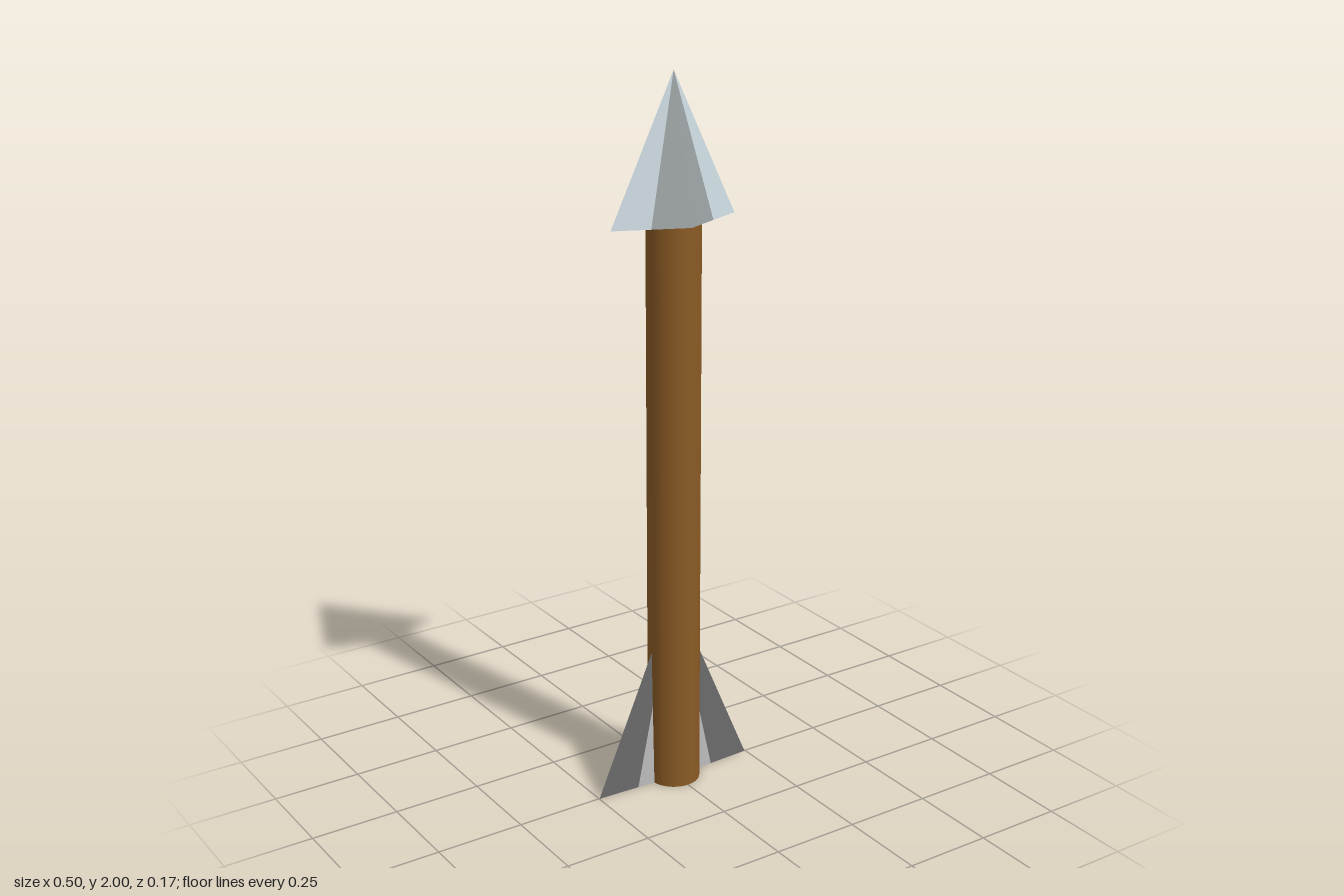
import * as THREE from 'three';

const material = (color, flatShading = true) => new THREE.MeshStandardMaterial({ color, flatShading });

// Pyramid slice: base points [x, z] run from +x towards +z; sides are the base edges that show.
function slice(name, base, sides, height, mat) {
  const n = base.length;
  const pos = [];
  const push = ([x, z], y = 0) => pos.push(x, y, z);
  for (const i of sides) {
    push(base[(i + 1) % n]);
    push(base[i]);
    push([0, 0], height);
  }
  for (let i = 1; i < n - 1; i++) [base[0], base[i], base[i + 1]].forEach((p) => push(p));
  const geo = new THREE.BufferGeometry();
  geo.setAttribute('position', new THREE.Float32BufferAttribute(pos, 3));
  geo.computeVertexNormals();
  const mesh = new THREE.Mesh(geo, mat);
  mesh.name = name;
  return mesh;
}

// Diamond-based pyramid with a core and two differently coloured edges
function blade(name, w, d, height, coreColor, edgeColor) {
  const group = new THREE.Group();
  group.name = name;
  const a = w / 2, b = d / 2;
  const core = [[a, b], [0, d], [-a, b], [-a, -b], [0, -d], [a, -b]];
  group.add(slice(name + 'Core', core, [0, 1, 3, 4], height, material(coreColor)));
  const edgeMat = material(edgeColor);
  const left = slice(name + 'LeftEdge', [[w, 0], [a, b], [a, -b]], [0, 2], height, edgeMat);
  const right = slice(name + 'RightEdge', [[-w, 0], [-a, -b], [-a, b]], [0, 2], height, edgeMat);
  group.add(left, right);
  return group;
}

export function createModel() {
  const model = new THREE.Group();
  model.name = 'arrow';

  // Round wooden shaft
  const shaft = new THREE.Mesh(new THREE.CylinderGeometry(0.073, 0.073, 1.61, 32), material(0x8a5a24, false));
  shaft.name = 'shaft';
  shaft.position.y = 0.805;
  model.add(shaft);

  // Faceted metal head
  const head = blade('head', 0.192, 0.083, 0.39, 0x989ea0, 0xc8d6dc);
  head.position.y = 1.61;
  model.add(head);

  // Thin tail fins: one flat blade running through the shaft
  model.add(blade('tailFins', 0.248, 0.014, 0.57, 0xbbbbbb, 0x6a6a6a));

  return model;
}
